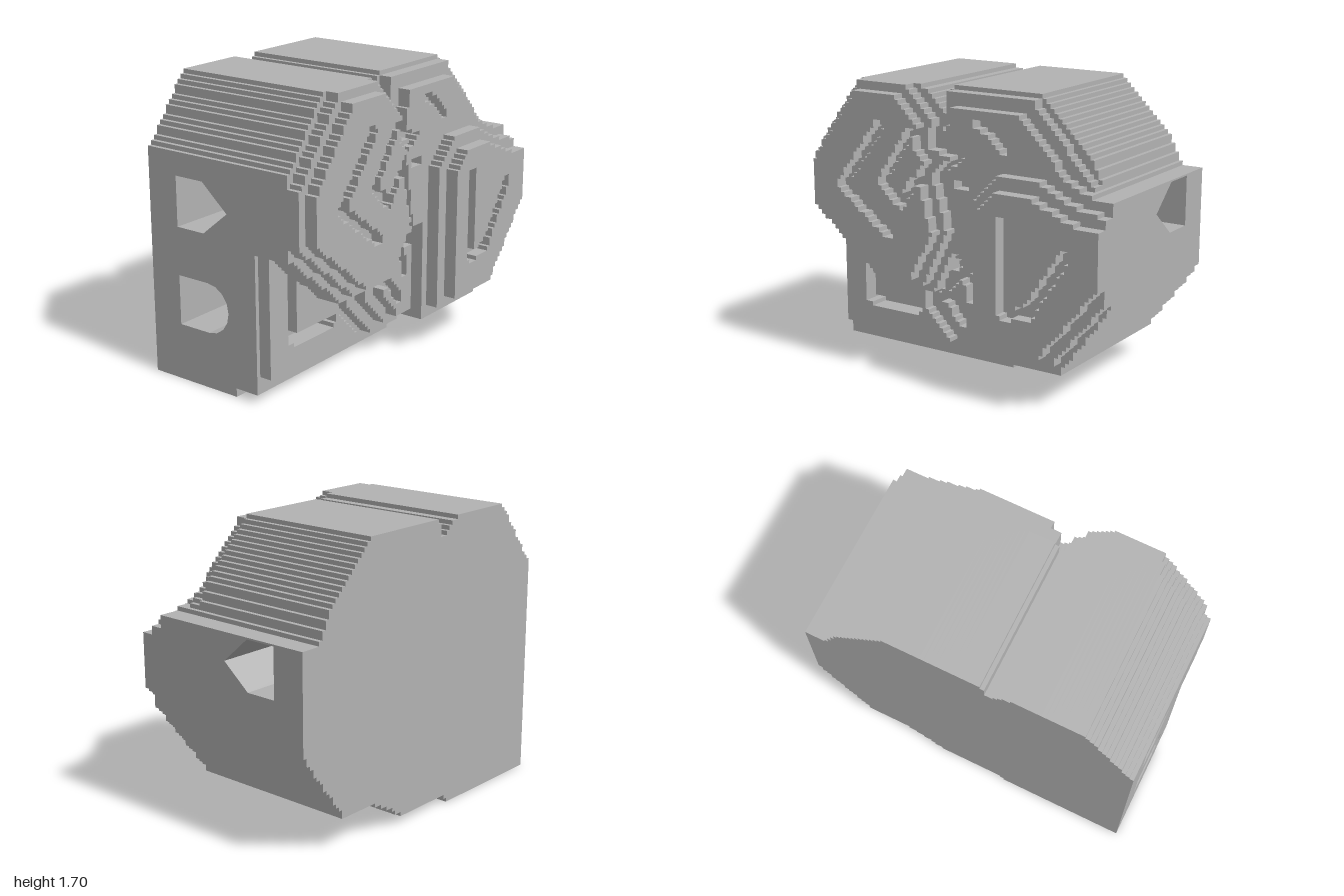
import * as THREE from 'three';

const S = 0.025, COLS = 80, ROWS = 68, BACK = -0.6;

// Stepped outline of the whole block
const outline = [[-1, 0], [-0.25, 0], [-0.15, 0.06], [0.17, 0.05], [0.45, 0.2], [0.68, 0.2], [1, 0.63], [1, 1.2],
  [0.88, 1.2], [0.8, 1.36], [0.47, 1.7], [-0.1, 1.7], [-0.14, 1.58], [-0.28, 1.7], [-0.7, 1.7], [-1, 1.3]];

function inside(poly, x, y) {
  let hit = false;
  poly.forEach(([ax, ay], i) => {
    const [bx, by] = poly[(i + 1) % poly.length];
    if ((ay > y) !== (by > y) && x < ax + (bx - ax) * (y - ay) / (by - ay)) hit = !hit;
  });
  return hit;
}

function distanceTo(path, x, y) {
  return Math.min(...path.slice(1).map(([bx, by], i) => {
    const [ax, ay] = path[i], dx = bx - ax, dy = by - ay;
    const t = THREE.MathUtils.clamp(((x - ax) * dx + (y - ay) * dy) / (dx * dx + dy * dy), 0, 1);
    return Math.hypot(x - ax - t * dx, y - ay - t * dy);
  }));
}

// A lobe rises from z in terraces of 0.075, each set in by the given distance
const lobe = (z, terraces, inset, poly) => (x, y, old) => {
  if (!inside(poly, x, y)) return old;
  const rim = distanceTo([...poly, poly[0]], x, y);
  return z + 0.075 * Math.min(terraces - 1, Math.floor(rim / inset));
};
// A groove is a path of the given width, cut down to z
const groove = (z, width, path) => (x, y, old) => (distanceTo(path, x, y) < width / 2 ? z : old);

const relief = [];
// lower left square, bevelled at its foot and outer edge
relief.push((x, y) => (y < 0.05 ? 0 : y < 0.15 || x < -0.975 ? 0.15 : 0.225));
relief.push(groove(0.1, 0.075, [[-0.785, 0.8], [-0.785, 0.325], [-0.43, 0.325]]));
// lower middle lobe
relief.push(lobe(0.15, 4, 0.07, [[-0.37, 0.5], [-0.37, 0.33], [-0.1, 0.05], [0.2, 0.05], [0.5, 0.22], [0.3, 0.9], [0, 0.95]]));
relief.push(groove(0.3, 0.06, [[-0.14, 0.62], [-0.14, 0.52], [0, 0.36]]));
relief.push(groove(0.3, 0.05, [[0, 0.85], [0.05, 0.5]]));
// upper right lobe
relief.push(lobe(0.3, 3, 0.07, [[-0.15, 1.75], [0.48, 1.75], [0.97, 1.2], [0.3, 0.6], [-0.1, 0.7], [-0.2, 1.3]]));
relief.push(groove(0.375, 0.055, [[0.15, 1.52], [0.22, 1.5], [0.33, 1.39]]));
relief.push(groove(0.375, 0.05, [[0.02, 1.175], [0.08, 1.175]]));
// upper left diamond lobe
relief.push(lobe(0.375, 3, 0.05, [[-1.06, 1.24], [-0.68, 1.75], [-0.32, 1.75], [-0.1, 1.53], [-0.13, 1.4], [0.08, 1.34],
  [-0.1, 1.2], [0, 0.88], [-0.2, 0.5], [-0.55, 0.5], [-1.06, 0.92]]));
relief.push(groove(0.45, 0.07, [[-0.47, 1.46], [-0.74, 1.1], [-0.41, 0.85]]));
relief.push(groove(0.45, 0.06, [[-0.25, 1.45], [-0.45, 1.15], [-0.32, 1.04], [-0.22, 1.18]]));
// lower right lobe
relief.push(lobe(0.45, 3, 0.065, [[0.12, 0.2], [0.7, 0.2], [1.15, 0.75], [1.15, 1.17], [0.85, 1.22], [0.6, 1.33], [0.3, 1.33], [0.12, 1.15]]));
relief.push(groove(0.525, 0.07, [[0.42, 1.05], [0.42, 0.54], [0.57, 0.56], [0.8, 0.92]]));

// Front z of a grid cell; BACK where the cell is empty
function cellFront(c, r) {
  const x = -1 + (c + 0.5) * S, y = (r + 0.5) * S;
  return inside(outline, x, y) ? relief.reduce((z, layer) => layer(x, y, z), BACK) : BACK;
}

// Collects flat quads
function quads() {
  const p = [];
  return {
    add(a, b, c, d) { p.push(...a, ...b, ...c, ...a, ...c, ...d); },
    geometry() {
      const g = new THREE.BufferGeometry();
      g.setAttribute('position', new THREE.Float32BufferAttribute(p, 3));
      g.computeVertexNormals();
      return g;
    },
  };
}

export function createModel() {
  const model = new THREE.Group();
  const grey = new THREE.MeshStandardMaterial({ color: 0xb2b2b2, side: THREE.DoubleSide });
  grey.name = 'stone grey';
  const add = (name, geometry) => {
    const mesh = new THREE.Mesh(geometry, grey);
    mesh.name = name;
    model.add(mesh);
  };

  const front = Array.from({ length: COLS }, (_, c) => Array.from({ length: ROWS }, (_, r) => cellFront(c, r)));
  const at = (c, r) => front[c]?.[r] ?? BACK;

  // Stepped block: front and back faces plus the walls between unequal cells
  const block = quads();
  for (let c = 0; c < COLS; c++) for (let r = 0; r < ROWS; r++) {
    const z = at(c, r);
    if (z <= BACK) continue;
    const x0 = -1 + c * S, x1 = x0 + S, y0 = r * S, y1 = y0 + S;
    block.add([x0, y0, z], [x1, y0, z], [x1, y1, z], [x0, y1, z]);
    block.add([x1, y0, BACK], [x0, y0, BACK], [x0, y1, BACK], [x1, y1, BACK]);
    const sides = [[1, 0, x1, y0, x1, y1], [-1, 0, x0, y1, x0, y0], [0, 1, x1, y1, x0, y1], [0, -1, x0, y0, x1, y0]];
    for (const [dc, dr, ax, ay, bx, by] of sides) {
      const outer = c + dc < 0 || c + dc >= COLS;
      const low = outer ? 0 : at(c + dc, r + dr);
      if (low < z) block.add([ax, ay, z], [ax, ay, low], [bx, by, low], [bx, by, z]);
    }
  }
  add('steppedBlock', block.geometry());

  // Channels through the sides, as [z, y] profiles
  const upper = [[-0.4, 0.9], [-0.4, 1.19], [-0.21, 1.19], [-0.04, 1.04], [-0.21, 0.9]];
  const lower = [[-0.4, 0.33], [-0.4, 0.62]];
  for (let i = 0; i <= 8; i++) {
    const a = Math.PI / 2 - i * Math.PI / 8;
    lower.push([-0.19 + 0.145 * Math.cos(a), 0.475 + 0.145 * Math.sin(a)]);
  }

  // Flat panel facing side s at the given x
  const panel = (name, s, x, profile, holes = []) => {
    const vec = ([z, y]) => new THREE.Vector2(-s * z, y);
    const shape = new THREE.Shape(profile.map(vec));
    shape.holes = holes.map((h) => new THREE.Path(h.map(vec)));
    add(name, new THREE.ShapeGeometry(shape).rotateY(s * Math.PI / 2).translate(x, 0, 0));
  };

  // Rear part of each side wall with its openings
  const sideWall = (name, s, holes) => {
    const column = front[s > 0 ? COLS - 1 : 0];
    const y0 = column.findIndex((z) => z > BACK) * S, y1 = (column.findLastIndex((z) => z > BACK) + 1) * S;
    panel(name, s, s, [[BACK, y0], [0, y0], [0, y1], [BACK, y1]], holes);
  };
  sideWall('leftWall', 1, [upper]);
  sideWall('rightWall', -1, [upper, lower]);

  const channel = (name, profile, end) => {
    const q = quads();
    profile.forEach(([z, y], i) => {
      const [w, v] = profile[(i + 1) % profile.length];
      q.add([-1, y, z], [-1, v, w], [end, v, w], [end, y, z]);
    });
    add(name, q.geometry());
  };
  channel('throughChannel', upper, 1);
  channel('blindChannel', lower, 0.4);
  panel('blindChannelEnd', -1, 0.4, lower);

  return model;
}
